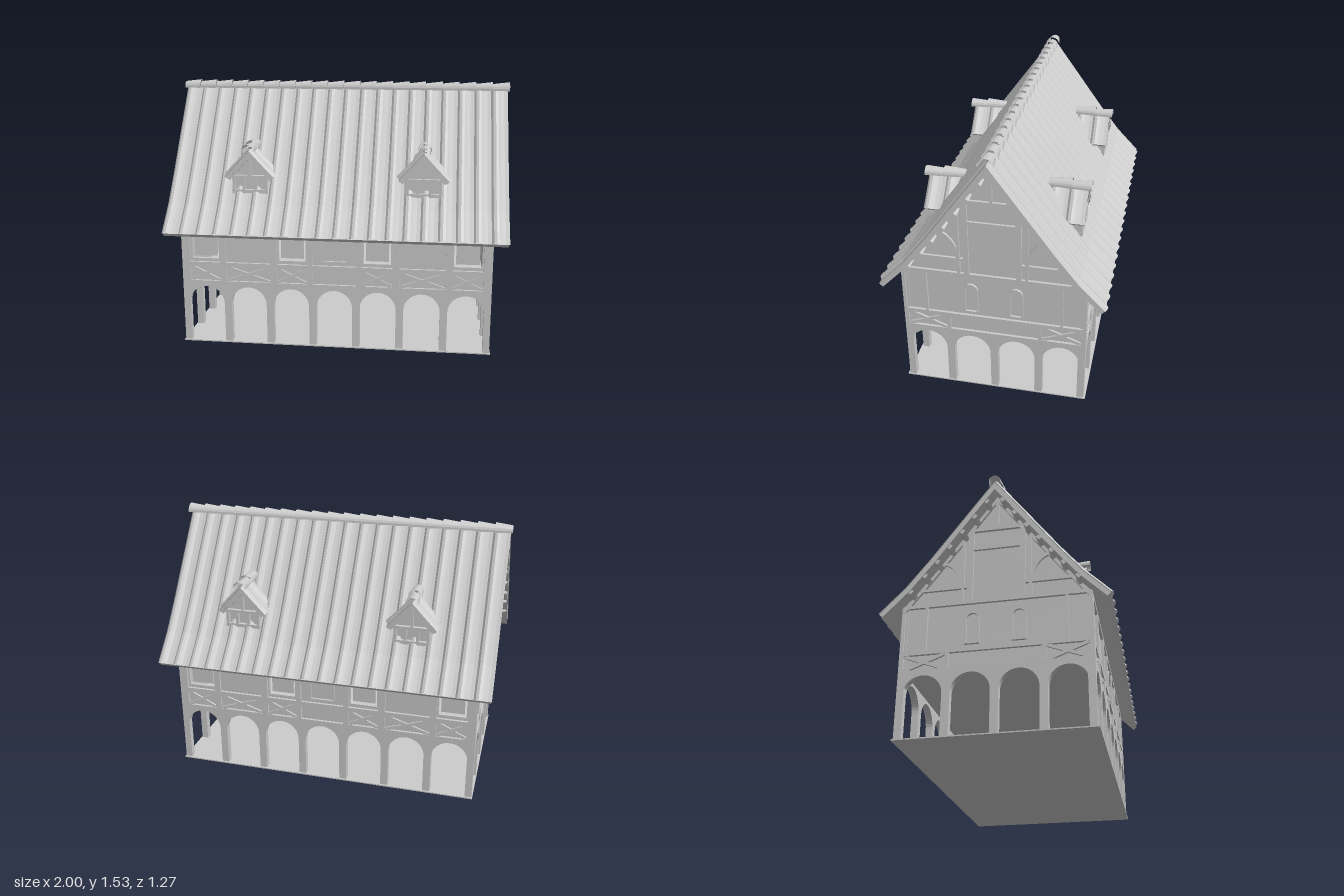
import * as THREE from 'three';

const stone = new THREE.MeshStandardMaterial({ color: 0xcccccc, side: THREE.DoubleSide, flatShading: true });
stone.name = 'pale grey';

function add(parent, name, geo, x = 0, y = 0, z = 0) {
  const m = new THREE.Mesh(geo, stone);
  m.name = name;
  m.position.set(x, y, z);
  parent.add(m);
  return m;
}
function group(parent, name) {
  const g = new THREE.Group();
  g.name = name;
  parent.add(g);
  return g;
}
const box = (parent, name, w, h, d, x, y, z) => add(parent, name, new THREE.BoxGeometry(w, h, d), x, y, z);
const vecs = pts => pts.map(p => new THREE.Vector2(p[0], p[1]));
const rectPts = ([x0, x1, y0, y1]) => vecs([[x0, y0], [x1, y0], [x1, y1], [x0, y1]]);
const extrude = (shape, depth) => new THREE.ExtrudeGeometry(shape, { depth, bevelEnabled: false, curveSegments: 10 });

// Plate with rectangular openings
function plate(rect, holes, depth) {
  const s = new THREE.Shape(rectPts(rect));
  holes.forEach(h => s.holes.push(new THREE.Path(rectPts(h))));
  return extrude(s, depth);
}
// Timber between two points of a wall, front face at z
function beam(parent, name, a, b, width, depth, z) {
  const dx = b[0] - a[0], dy = b[1] - a[1];
  const m = box(parent, name, Math.hypot(dx, dy), width, depth, (a[0] + b[0]) / 2, (a[1] + b[1]) / 2, z - depth / 2);
  m.rotation.z = Math.atan2(dy, dx);
}
function cross(parent, [x0, x1, y0, y1]) {
  beam(parent, 'crossBrace', [x0, y0], [x1, y1], 0.018, 0.012, -0.003);
  beam(parent, 'crossBrace', [x0, y1], [x1, y0], 0.018, 0.012, -0.004);
}
// Round-headed outline
function archPath(P, c, r, y0, top) {
  const s = new P();
  s.moveTo(c - r, y0);
  s.lineTo(c + r, y0);
  s.lineTo(c + r, top - r);
  s.absarc(c, top - r, r, 0, Math.PI, false);
  s.lineTo(c - r, y0);
  return s;
}
function archWindow(parent, c, r, y0, top) {
  const s = archPath(THREE.Shape, c, r, y0, top);
  s.holes.push(archPath(THREE.Path, c, r - 0.009, y0 + 0.009, top - 0.009));
  add(parent, 'archWindowFrame', extrude(s, 0.014), 0, 0, -0.016);
}
// Row of open arches on posts
function arcade(parent, half, count) {
  const s = new THREE.Shape(), r = 0.106, spring = 0.245;
  s.moveTo(-half, 0);
  s.lineTo(-half, 0.37);
  s.lineTo(half, 0.37);
  s.lineTo(half, 0);
  for (let i = count - 1; i >= 0; i--) {
    const c = (i - (count - 1) / 2) * 0.2555;
    s.lineTo(c + r, 0);
    s.lineTo(c + r, spring);
    s.absarc(c, spring, r, 0, Math.PI, false);
    s.lineTo(c - r, 0);
  }
  add(parent, 'arcade', extrude(s, 0.04), 0, 0, -0.04);
}

function longWall(parent) {
  const g = group(parent, 'longWall');
  arcade(g, 0.91, 7);
  const bays = [[-0.86, -0.68], [-0.645, -0.38], [-0.34, -0.16], [-0.13, 0.13], [0.16, 0.34], [0.38, 0.645], [0.68, 0.86]];
  const upper = bays.map(b => [...b, 0.5, 0.74]), lower = bays.map(b => [...b, 0.385, 0.472]);
  add(g, 'timberFrame', plate([-0.91, 0.91, 0.37, 0.765], [...upper, ...lower], 0.015), 0, 0, -0.015);
  const windows = [-0.77, -0.25, 0.25, 0.77];
  add(g, 'infillWall', plate([-0.9, 0.9, 0.37, 0.765], windows.map(c => [c - 0.08, c + 0.08, 0.52, 0.72]), 0.02), 0, 0, -0.035);
  windows.forEach(c => box(g, 'shutter', 0.135, 0.2, 0.01, c, 0.632, -0.035));
  lower.forEach((r, i) => { if (i !== 3) cross(g, r); });
  archWindow(g, 0, 0.075, 0.52, 0.705);
  return g;
}

function gableWall(parent) {
  const g = group(parent, 'gableWall');
  arcade(g, 0.52, 4);
  const side = [0.27, 0.495, 0.385, 0.472];
  const sideL = [-0.495, -0.27, 0.385, 0.472];
  add(g, 'timberFrame', plate([-0.52, 0.52, 0.37, 0.775], [side, sideL, [-0.25, 0.25, 0.385, 0.472],
    [-0.375, 0.375, 0.495, 0.755], [0.39, 0.5, 0.495, 0.755], [-0.5, -0.39, 0.495, 0.755]], 0.015), 0, 0, -0.015);
  add(g, 'infillWall', plate([-0.51, 0.51, 0.37, 0.765], [], 0.02), 0, 0, -0.035);
  cross(g, side);
  cross(g, sideL);
  [-0.127, 0.127].forEach(c => archWindow(g, c, 0.04, 0.515, 0.705));

  // Gable triangle and its timbers
  const edge = [[0.52, 0.755], [0.48, 0.81], [0.35, 0.975], [0.18, 1.205], [0, 1.45]];
  const mirrored = edge.slice(0, -1).reverse().map(p => [-p[0], p[1]]);
  add(g, 'gablePanel', extrude(new THREE.Shape(vecs([...edge, ...mirrored])), 0.02), 0, 0, -0.035);
  beam(g, 'collarBeam', [-0.155, 1.225], [0.155, 1.225], 0.02, 0.015, 0);
  beam(g, 'doorLintel', [-0.135, 1.1], [0.135, 1.1], 0.012, 0.015, -0.002);
  beam(g, 'kingPost', [0, 1.235], [0, 1.43], 0.016, 0.015, 0);
  for (const s of [-1, 1]) {
    for (let i = 0; i < 4; i++) {
      const a = edge[i], b = edge[i + 1];
      beam(g, 'gableRafter', [s * (a[0] - 0.012), a[1] - 0.008], [s * (b[0] - 0.012), b[1] - 0.008], 0.025, 0.015, -0.001);
    }
    beam(g, 'gablePost', [s * 0.145, 0.77], [s * 0.145, 1.22], 0.03, 0.015, 0);
    beam(g, 'railBeam', [s * 0.155, 0.862], [s * 0.43, 0.862], 0.016, 0.015, -0.001);
    beam(g, 'stud', [s * 0.188, 0.775], [s * 0.188, 1.17], 0.016, 0.015, -0.001);
    // Curved brace between rafter and stud
    const arc = new THREE.Shape();
    arc.absellipse(s * 0.32, 0.862, 0.135, 0.175, s > 0 ? Math.PI : 0, Math.PI / 2, s > 0);
    arc.absellipse(s * 0.32, 0.862, 0.118, 0.158, Math.PI / 2, s > 0 ? Math.PI : 0, s < 0);
    add(g, 'curvedBrace', extrude(arc, 0.013), 0, 0, -0.015);
    // Purlin ends carrying the overhang
    [[0.045, 1.365], [0.113, 1.27], [0.18, 1.178], [0.248, 1.087], [0.315, 0.997], [0.38, 0.915], [0.455, 0.823]].forEach(([u, v]) => {
      beam(g, 'purlinEnd', [s * (u - 0.008), v + 0.01], [s * (u + 0.008), v - 0.012], 0.022, 0.09, 0.07);
    });
  }
  return g;
}

// One roof slope: tiled sheet over a solid deck; profile points are [outward, height]
function roofSlope(parent, name, profile, length, cycles, thick) {
  const g = group(parent, name);
  const normals = profile.map((p, j) => {
    const a = profile[Math.max(j - 1, 0)], b = profile[Math.min(j + 1, profile.length - 1)];
    return new THREE.Vector2(a[1] - b[1], b[0] - a[0]).normalize();
  });
  const wave = [[0, 0.002], [0.12, 0.014], [0.28, 0.018], [0.44, 0.014], [0.56, 0.002], [0.78, 0.0005]];
  const cols = [];
  for (let c = 0; c < cycles; c++) wave.forEach(([t, h]) => cols.push([((c + t) / cycles - 0.5) * length, h]));
  cols.push([length / 2, 0.002]);
  const pos = [], idx = [], n = cols.length;
  profile.forEach((p, j) => cols.forEach(([x, h], i) => {
    pos.push(x, p[1] + normals[j].y * h, p[0] + normals[j].x * h);
    if (j && i) {
      const d = j * n + i, a = d - n - 1;
      idx.push(a, d - 1, d, a, d, d - n);
    }
  }));
  let geo = new THREE.BufferGeometry();
  geo.setAttribute('position', new THREE.Float32BufferAttribute(pos, 3));
  geo.setIndex(idx);
  geo = geo.toNonIndexed();
  geo.computeVertexNormals();
  add(g, 'tiles', geo);
  const under = profile.map((p, j) => j ? [p[0] - normals[j].x * thick, p[1] - normals[j].y * thick] : [0, p[1] - thick / normals[0].y]);
  const deck = extrude(new THREE.Shape(vecs([...profile, ...under.reverse()])), length - 0.01);
  deck.rotateY(-Math.PI / 2);
  add(g, 'deck', deck, (length - 0.01) / 2);
  return g;
}

// Tapered half-round ridge tile along x, wide end at +x
function ridgeCap(r0, r1, length) {
  const geo = new THREE.CylinderGeometry(r1, r0, length, 10, 1, true, Math.PI * 0.95, Math.PI * 1.1);
  return geo.rotateZ(-Math.PI / 2);
}

function dormer(parent, x) {
  const g = group(parent, 'dormer');
  g.position.x = x;
  add(g, 'dormerBody', extrude(new THREE.Shape(vecs([[-0.1, 0.88], [0.1, 0.88], [0.1, 1.02], [0, 1.12], [-0.1, 1.02]])), 0.15), 0, 0, 0.27);
  box(g, 'dormerBeam', 0.21, 0.016, 0.025, 0, 1.005, 0.43);
  box(g, 'dormerSill', 0.21, 0.02, 0.025, 0, 0.918, 0.43);
  [-0.095, -0.035, 0.035, 0.095].forEach(px => box(g, 'dormerPost', 0.016, 0.1, 0.022, px, 0.955, 0.43));
  box(g, 'dormerKingPost', 0.014, 0.11, 0.02, 0, 1.06, 0.43);
  for (const s of [-1, 1]) {
    const slope = roofSlope(g, 'dormerRoof', [[0, 1.16], [0.07, 1.083], [0.145, 1.005]], 0.21, 2, 0.018);
    slope.rotation.y = s * Math.PI / 2;
    slope.position.z = 0.35;
    beam(g, 'dormerRafter', [0, 1.127], [s * 0.125, 0.99], 0.016, 0.02, 0.445);
  }
  add(g, 'dormerRidgeCap', ridgeCap(0.03, 0.037, 0.12).rotateY(-Math.PI / 2), 0, 1.163, 0.415);
  add(g, 'dormerRidgeCap', ridgeCap(0.03, 0.04, 0.13).rotateY(-Math.PI / 2), 0, 1.168, 0.3);
}

export function createModel() {
  const model = new THREE.Group();
  model.name = 'marketHall';

  box(model, 'groundSlab', 1.83, 0.007, 1.06, 0, 0.0035, 0);
  box(model, 'upperFloor', 1.78, 0.012, 1.0, 0, 0.375, 0);

  for (const s of [1, -1]) {
    const half = group(model, s > 0 ? 'frontHalf' : 'backHalf');
    half.rotation.y = s > 0 ? 0 : Math.PI;
    longWall(half).position.z = 0.52;
    const gable = gableWall(half);
    gable.rotation.y = Math.PI / 2;
    gable.position.x = 0.91;
    roofSlope(half, 'mainRoof', [[0, 1.485], [0.18, 1.24], [0.35, 1.008], [0.48, 0.843], [0.622, 0.697]], 1.98, 20, 0.028);
    [-0.507, 0.507].forEach(x => dormer(half, x));
  }

  // Overlapping ridge tiles
  const caps = 20, step = 2 / caps;
  for (let i = 0; i < caps; i++) add(model, 'ridgeCap', ridgeCap(0.032, 0.044, step), -1 + (i + 0.5) * step, 1.487, 0);
  return model;
}
